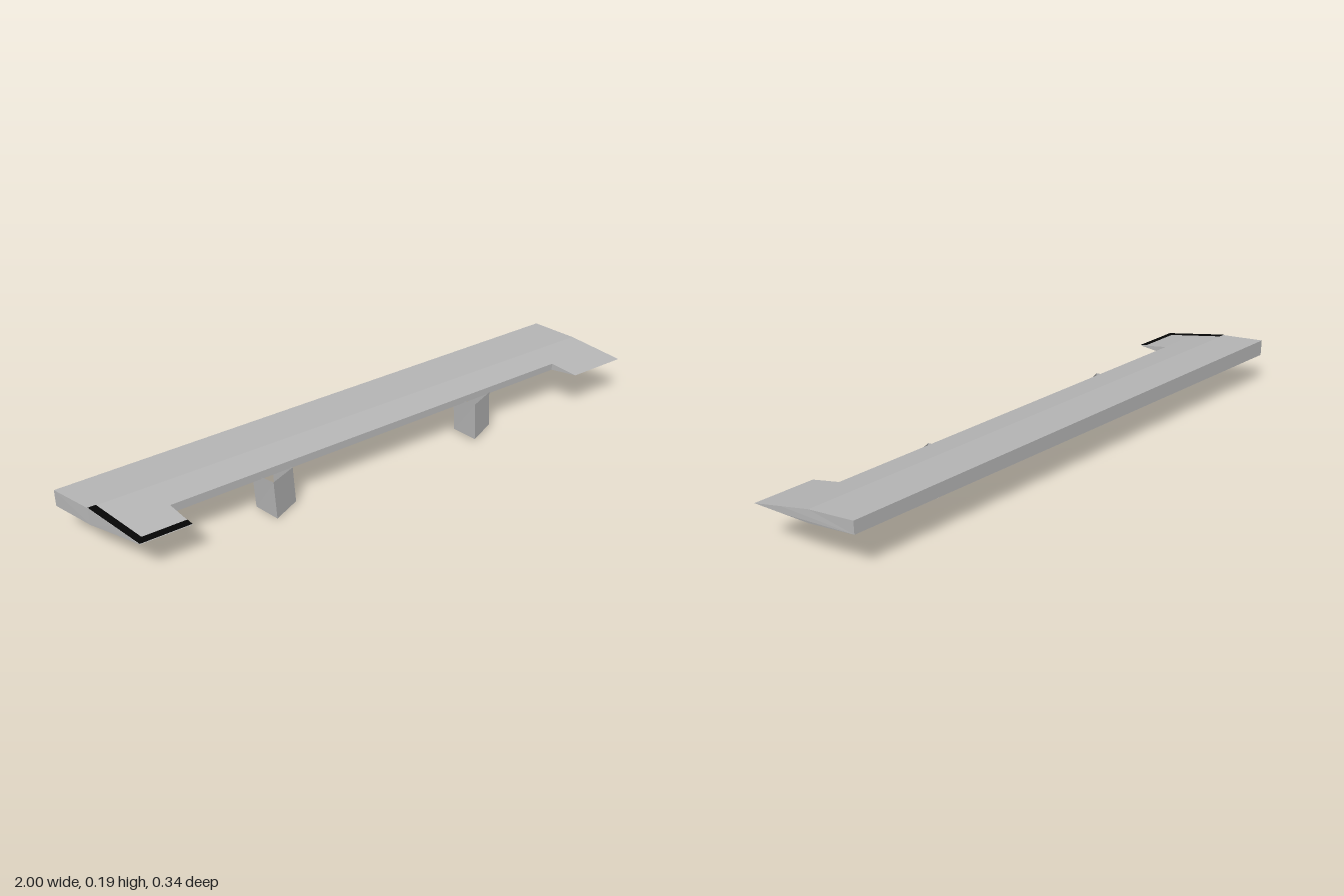
import * as THREE from 'three';

const grey = new THREE.MeshStandardMaterial({ color: 0xb4b4b4, side: THREE.DoubleSide });
grey.name = 'panelGrey';
const black = new THREE.MeshStandardMaterial({ color: 0x050505, side: THREE.DoubleSide });
black.name = 'trimBlack';

// Flat-faced mesh from polygons, each a loop of points seen counter-clockwise from outside
function faceted(name, faces, material) {
  const pos = [];
  for (const f of faces)
    for (let i = 1; i < f.length - 1; i++) pos.push(...f[0], ...f[i], ...f[i + 1]);
  const geo = new THREE.BufferGeometry();
  geo.setAttribute('position', new THREE.Float32BufferAttribute(pos, 3));
  geo.computeVertexNormals();
  const mesh = new THREE.Mesh(geo, material);
  mesh.name = name;
  return mesh;
}

// Joins matching section loops (ordered clockwise seen from the +x side) and caps both ends
function loft(name, left, right, material) {
  const n = left.length;
  const faces = [[...left], [...right].reverse()];
  for (let i = 0; i < n; i++) {
    const j = (i + 1) % n;
    faces.push([left[i], right[i], right[j], left[j]]);
  }
  return faceted(name, faces, material);
}

const mix = (a, b, t) => a.map((v, i) => v + (b[i] - v) * t);

export function createModel() {
  const model = new THREE.Group();
  model.name = 'wing';

  // Wing sections: back bottom, back top, ridge top, front top, front bottom, ridge bottom
  const left = [
    [-1, 0.122, -0.173], [-1, 0.18, -0.173], [-0.952, 0.176, -0.035],
    [-0.918, 0.16, 0.068], [-0.918, 0.13, 0.068], [-0.952, 0.118, -0.03],
  ];
  const right = [
    [0.895, 0.148, -0.173], [0.895, 0.193, -0.173], [0.94, 0.188, -0.025],
    [0.97, 0.174, 0.065], [0.97, 0.151, 0.065], [0.94, 0.142, -0.025],
  ];
  // reversed so every face points outward
  model.add(loft('wingBody', [...left].reverse(), [...right].reverse(), grey));

  // Forward wedges at both tips, running out to a sharp edge
  const frontAt = (x) => {
    const t = (x + 0.918) / 1.888;
    return [mix(left[3], right[3], t), mix(left[4], right[4], t)];
  };
  function tipWedge(name, xBackA, xBackB, edgeA, edgeB) {
    const [ta, ba] = frontAt(xBackA);
    const [tb, bb] = frontAt(xBackB);
    model.add(loft(name, [ba, edgeA, ta], [bb, edgeB, tb], grey));
  }
  tipWedge('rightTip', -0.918, -0.735, [-0.885, 0.143, 0.17], [-0.715, 0.144, 0.17]);
  tipWedge('leftTip', 0.765, 0.97, [0.795, 0.158, 0.155], [1, 0.16, 0.155]);

  // Black border laid on top of the right tip
  const onTop = ([x, z]) => [x, 0.178 - (z + 0.035) * 0.161 + (x + 0.95) * 0.007, z];
  const outer = [[-0.952, -0.035], [-0.885, 0.17], [-0.715, 0.17]].map(onTop);
  const inner = [[-0.926, -0.035], [-0.868, 0.147], [-0.72, 0.147]].map(onTop);
  const strips = [0, 1].map((i) => [outer[i], outer[i + 1], inner[i + 1], inner[i]]);
  model.add(faceted('tipBorder', strips, black));

  // Two angled brackets under the leading edge: three walls and a floor, open behind
  const low = [[-0.397, 0, 0.111], [-0.305, 0.008, 0.073], [-0.336, 0.019, -0.006], [-0.426, 0.01, 0.03]];
  const high = low.map(([x, y, z]) => [x - 0.01, 0.143, z + 0.003]);
  const wall = (i, j) => [low[i], low[j], high[j], high[i]];
  for (const [name, dx, dy, dz] of [['rightBracket', 0, 0, 0], ['leftBracket', 0.795, 0.008, -0.008]]) {
    const bracket = faceted(name, [wall(0, 1), wall(1, 2), wall(3, 0), [...low].reverse()], grey);
    bracket.position.set(dx, dy, dz);
    model.add(bracket);
  }

  return model;
}
